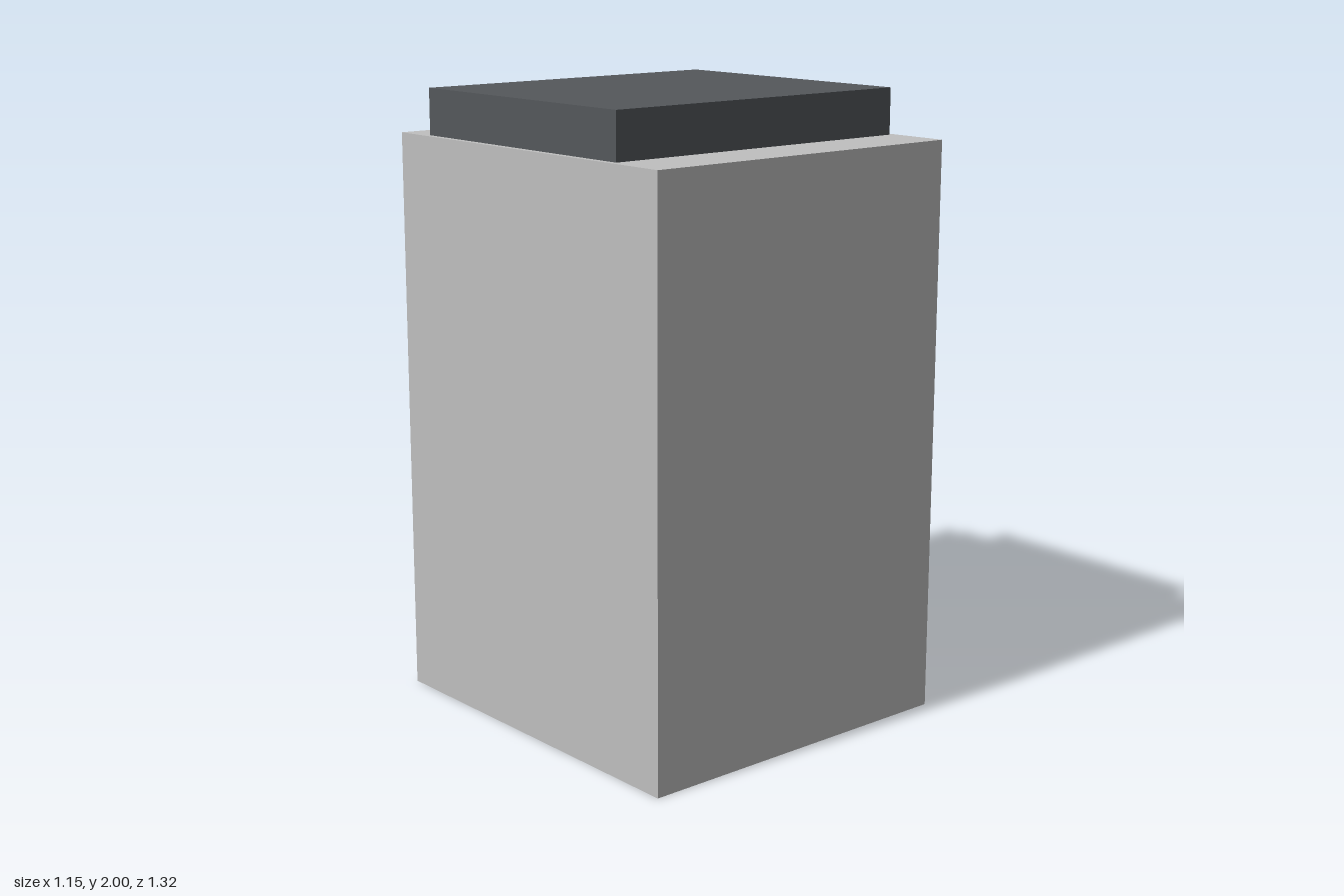
import * as THREE from 'three';

const paint = (name, color) => {
  const m = new THREE.MeshStandardMaterial({ color });
  m.name = name;
  return m;
};

export function createModel() {
  const lightGrey = paint('lightGrey', 0xbfbfbf);
  const darkGrey = paint('darkGrey', 0x54585b);
  const black = paint('black', 0x0a0a0a);

  const model = new THREE.Group();
  model.name = 'cabinet';

  const box = (name, material, size, position) => {
    const mesh = new THREE.Mesh(new THREE.BoxGeometry(...size), material);
    mesh.name = name;
    mesh.position.set(...position);
    model.add(mesh);
    return mesh;
  };

  // Main housing and the raised cover on top
  box('body', lightGrey, [1.15, 1.852, 1.257], [0, 0.926, 0.032]);
  box('topCover', darkGrey, [1.11, 0.148, 0.924], [0, 1.926, -0.005]);

  // Tilted panel rising from behind the cover
  const panel = box('tiltedPanel', black, [0.37, 0.03, 0.25], [0.275, 1.888, -0.545]);
  panel.rotation.x = Math.PI / 6;

  // Three stacked plates on the back, slightly proud of the housing
  for (let i = 0; i < 3; i++) {
    box(`backPlate${i + 1}`, darkGrey, [1.036, 0.26, 0.009], [0, 0.281 + i * 0.314, -0.5985]);
  }

  return model;
}
